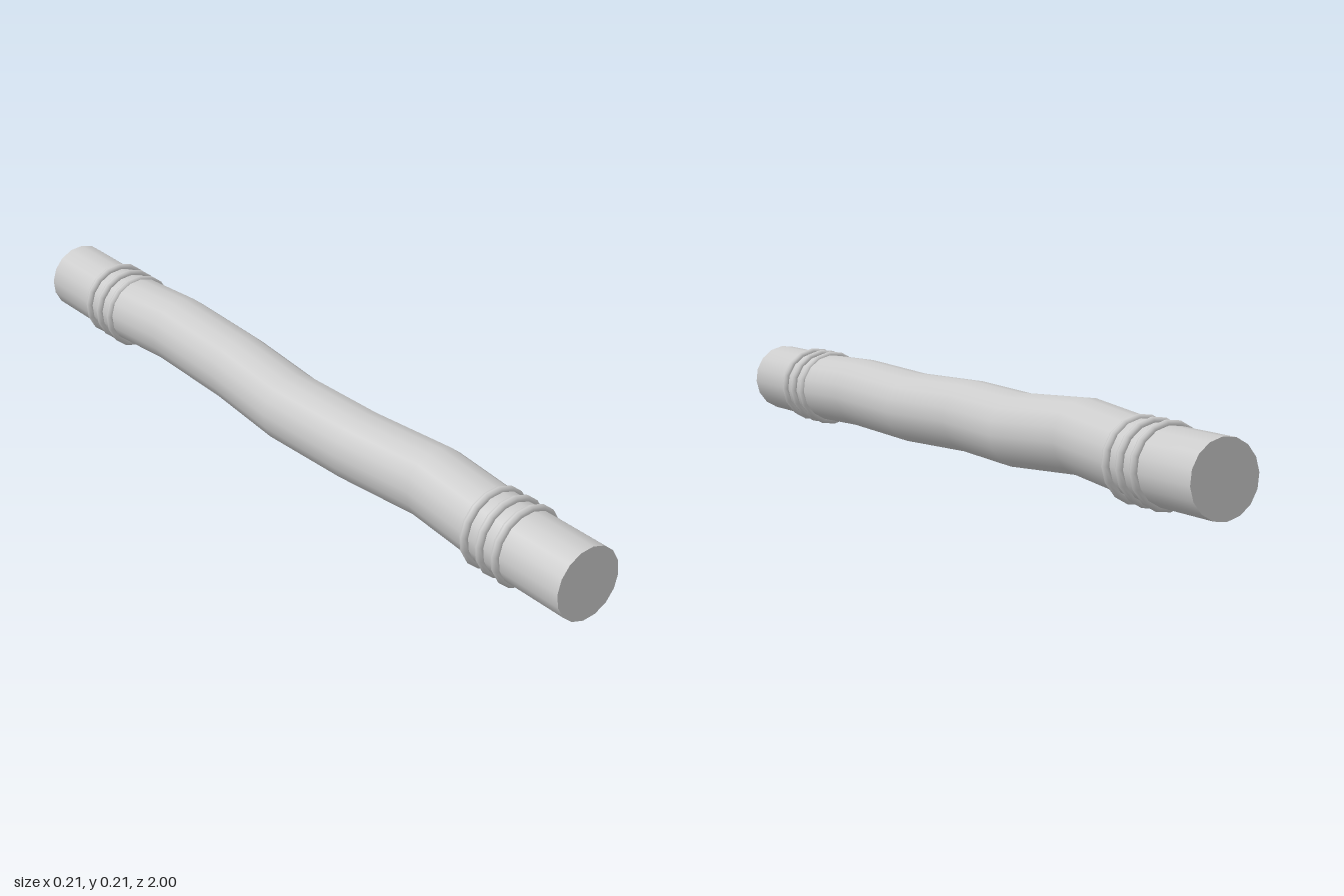
import * as THREE from 'three';

const SIDES = 16;
const RADIUS = 0.088;
const TWIST = THREE.MathUtils.degToRad(-4.5);
const CX = 0.002, CY = 0.099;

// Centreline of the bent tube: x, y, z from back to front
const PATH = [
  [CX, CY, -1], [CX, CY, -0.75], [-0.002, 0.121, -0.5], [0.008, 0.105, -0.25],
  [-0.016, 0.105, 0], [0, 0.099, 0.25], [0.014, 0.11, 0.5], [CX, CY, 0.75], [CX, CY, 1],
];

// Sweep a round section along the centreline
function sweep(path) {
  const position = [], index = [], row = SIDES + 1;
  for (const [x, y, z] of path) {
    for (let i = 0; i <= SIDES; i++) {
      const a = TWIST + ((i % SIDES) / SIDES) * Math.PI * 2;
      position.push(x + RADIUS * Math.cos(a), y + RADIUS * Math.sin(a), z);
    }
  }
  for (let j = 0; j < path.length - 1; j++) {
    for (let i = 0; i < SIDES; i++) {
      const a = j * row + i, b = j * row + ((i + 1) % SIDES);
      index.push(a, b, b + row, a, b + row, a + row);
    }
  }
  const geometry = new THREE.BufferGeometry();
  geometry.setAttribute('position', new THREE.Float32BufferAttribute(position, 3));
  geometry.setIndex(index);
  geometry.computeVertexNormals();
  return geometry;
}

export function createModel() {
  const group = new THREE.Group();
  group.name = 'bentPipe';
  const material = new THREE.MeshStandardMaterial({ color: 0xcccccc });

  const add = (name, geometry, x = 0, y = 0, z = 0) => {
    const mesh = new THREE.Mesh(geometry, material);
    mesh.name = name;
    mesh.position.set(x, y, z);
    group.add(mesh);
    return mesh;
  };

  add('tube', sweep(PATH));

  // Flat end caps and three raised rings near each end
  const cap = new THREE.CircleGeometry(RADIUS, SIDES, TWIST);
  const ring = new THREE.TorusGeometry(RADIUS, 0.011, 8, SIDES).rotateZ(TWIST);
  for (const [end, s] of [['front', 1], ['back', -1]]) {
    const disc = add(end + 'Cap', s > 0 ? cap : new THREE.CircleGeometry(RADIUS, SIDES, -TWIST + Math.PI), CX, CY, s);
    if (s < 0) disc.rotation.y = Math.PI;
    [0.71, 0.76, 0.81].forEach((z, i) => add(`${end}Ring${i + 1}`, ring, CX, CY, s * z));
  }
  return group;
}
